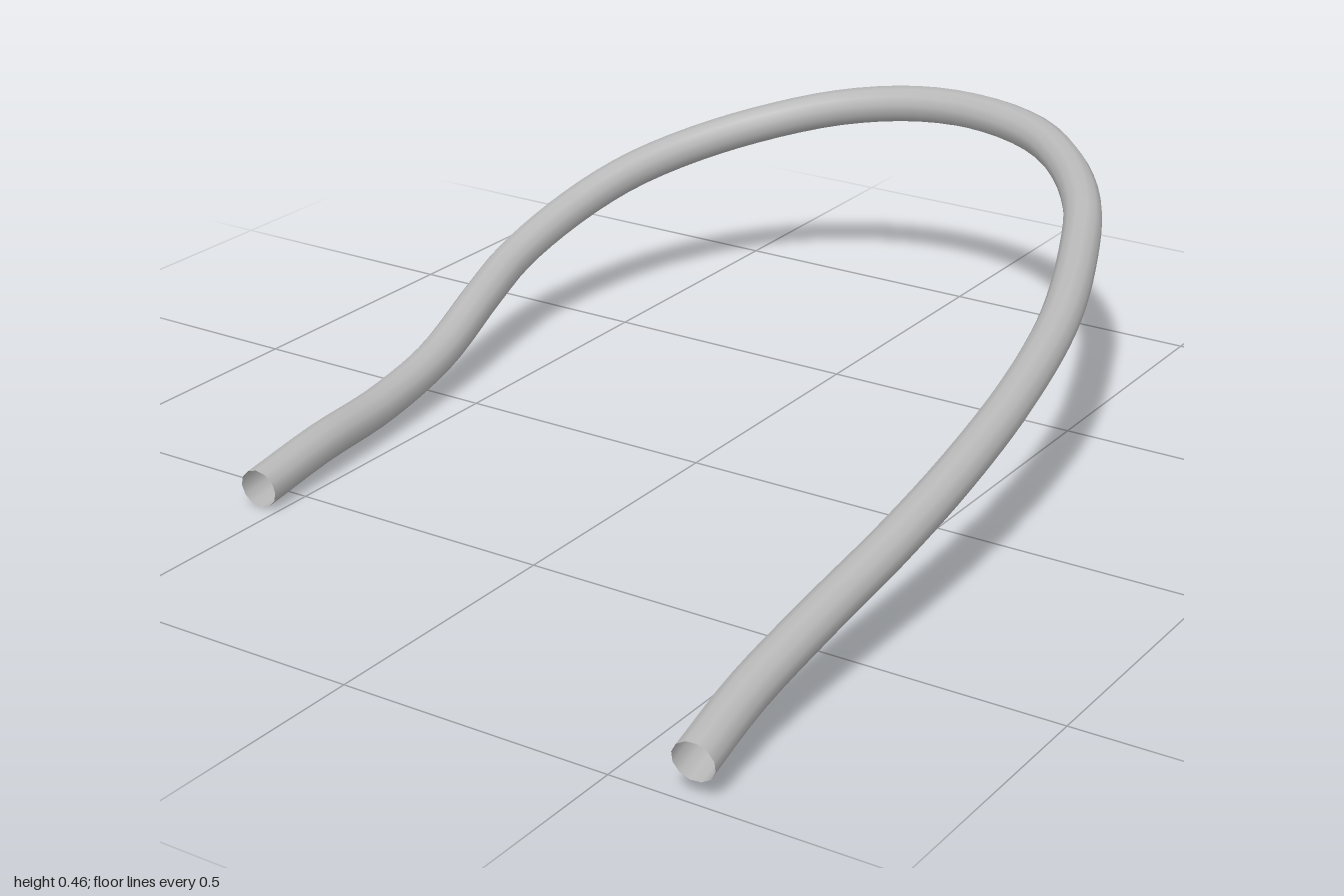
import * as THREE from 'three';

export function createModel() {
  const group = new THREE.Group();
  group.name = 'bentTube';
  const grey = new THREE.MeshStandardMaterial({ color: 0xb8b8b8, side: THREE.DoubleSide });
  grey.name = 'grey';

  // Centre line from the short end, round the back, to the long end
  const path = [
    [-0.537, 0.039, 0.58], [-0.548, 0.056, 0.4], [-0.568, 0.057, 0.2], [-0.592, 0.08, 0],
    [-0.628, 0.135, -0.2], [-0.645, 0.172, -0.33], [-0.625, 0.227, -0.5], [-0.58, 0.272, -0.64],
    [-0.503, 0.31, -0.77], [-0.395, 0.347, -0.875], [-0.26, 0.385, -0.938], [-0.1, 0.414, -0.964],
    [0.055, 0.426, -0.95], [0.215, 0.423, -0.89], [0.335, 0.406, -0.79], [0.425, 0.382, -0.67],
    [0.49, 0.353, -0.53], [0.573, 0.31, -0.29], [0.617, 0.265, -0.05], [0.636, 0.22, 0.185],
    [0.637, 0.176, 0.4], [0.629, 0.135, 0.61], [0.628, 0.096, 0.82], [0.644, 0.065, 0.99],
  ].map(p => new THREE.Vector3(...p));
  const curve = new THREE.CatmullRomCurve3(path, false, 'centripetal');

  // Hollow tube with open ends
  const tube = new THREE.Mesh(new THREE.TubeGeometry(curve, 96, 0.0365, 12, false), grey);
  tube.name = 'tube';
  group.add(tube);
  return group;
}
